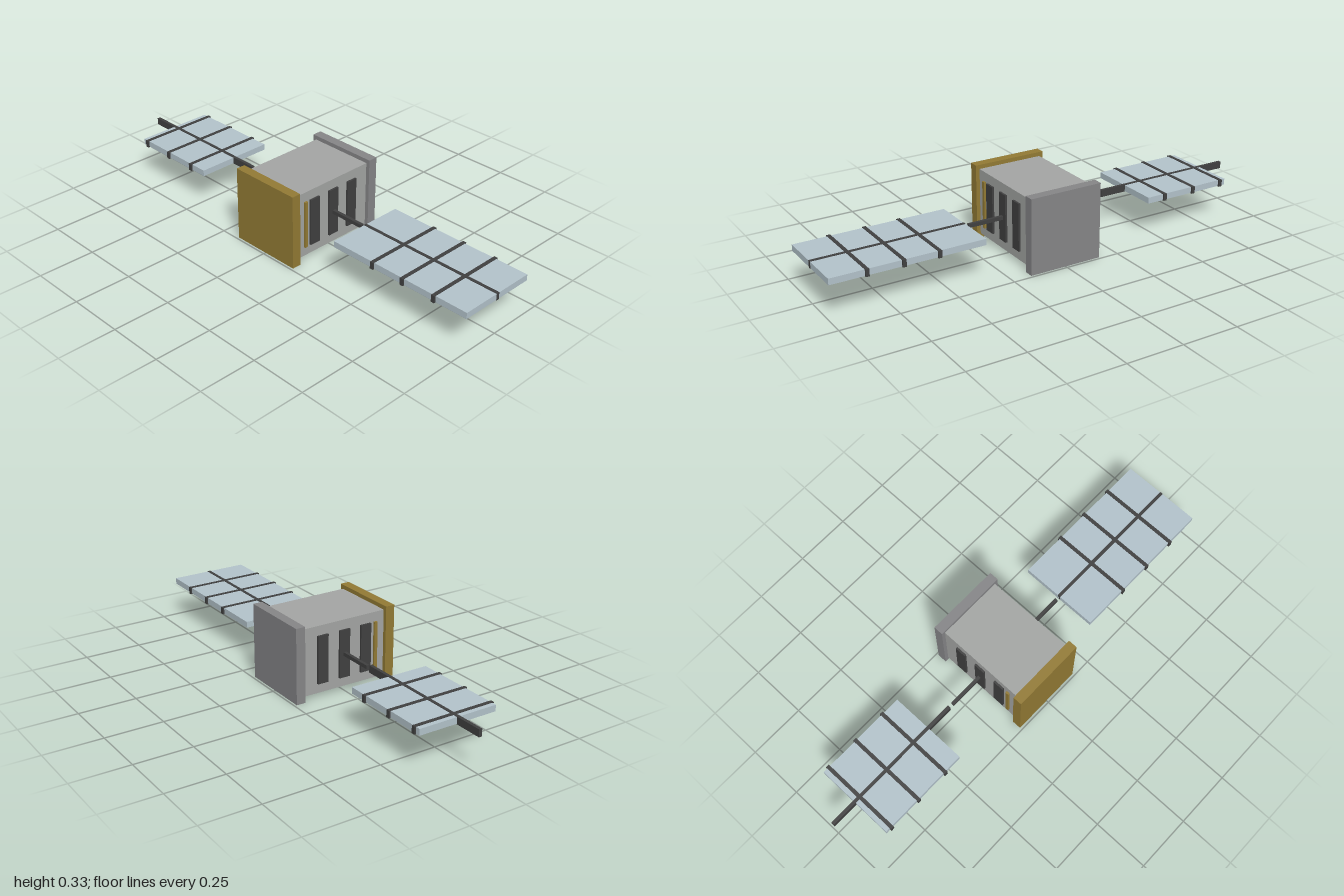
import * as THREE from 'three';

const mat = (name, color) => {
  const m = new THREE.MeshStandardMaterial({ color });
  m.name = name;
  return m;
};

export function createModel() {
  const root = new THREE.Group();
  root.name = 'satellite';
  const bodyGrey = mat('body grey', 0xa3a5a3);
  const plateGrey = mat('plate grey', 0x858587);
  const gold = mat('gold foil', 0x927a34);
  const dark = mat('dark frame', 0x404040);
  const pale = mat('pale blue panel', 0xb2c2ca);

  // Box given by its [min, max] along each axis
  const box = (parent, name, material, [x0, x1], [y0, y1], [z0, z1]) => {
    const mesh = new THREE.Mesh(new THREE.BoxGeometry(x1 - x0, y1 - y0, z1 - z0), material);
    mesh.position.set((x0 + x1) / 2, (y0 + y1) / 2, (z0 + z1) / 2);
    mesh.name = name;
    parent.add(mesh);
  };

  // Body with its two end plates
  box(root, 'body', bodyGrey, [-0.148, 0.148], [0.019, 0.313], [-0.2, 0.2]);
  box(root, 'frontPlate', gold, [-0.165, 0.165], [0, 0.331], [0.198, 0.239]);
  box(root, 'backPlate', plateGrey, [-0.165, 0.165], [0, 0.331], [-0.239, -0.197]);

  // Side windows, gold strips and support arms
  for (const side of [-1, 1]) {
    const span = (a, b) => (side > 0 ? [a, b] : [-b, -a]);
    for (const z of [-0.105, 0, 0.105])
      box(root, 'sideWindow', dark, span(0.145, 0.157), [0.061, 0.271], [z - 0.025, z + 0.025]);
    box(root, 'sideStrip', gold, span(0.145, 0.157), [0.061, 0.271], [0.147, 0.162]);
    box(root, 'arm', dark, span(0.14, 0.317), [0.158, 0.174], [-0.007, 0.007]);
  }

  // Solar wings: panel, long spar and cross ribs
  const wing = (name, panelX, sparX, ribs) => {
    const g = new THREE.Group();
    g.name = name;
    box(g, 'solarPanel', pale, panelX, [0.153, 0.18], [-0.177, 0.177]);
    box(g, 'spar', dark, sparX, [0.151, 0.182], [-0.007, 0.007]);
    for (const x of ribs)
      box(g, 'rib', dark, [x - 0.008, x + 0.008], [0.151, 0.182], [-0.184, 0.184]);
    root.add(g);
  };
  wing('leftWing', [0.333, 0.999], [0.333, 1], [0.54, 0.692, 0.845]);
  wing('rightWing', [-0.878, -0.46], [-1, -0.336], [-0.85, -0.698, -0.545]);

  return root;
}
